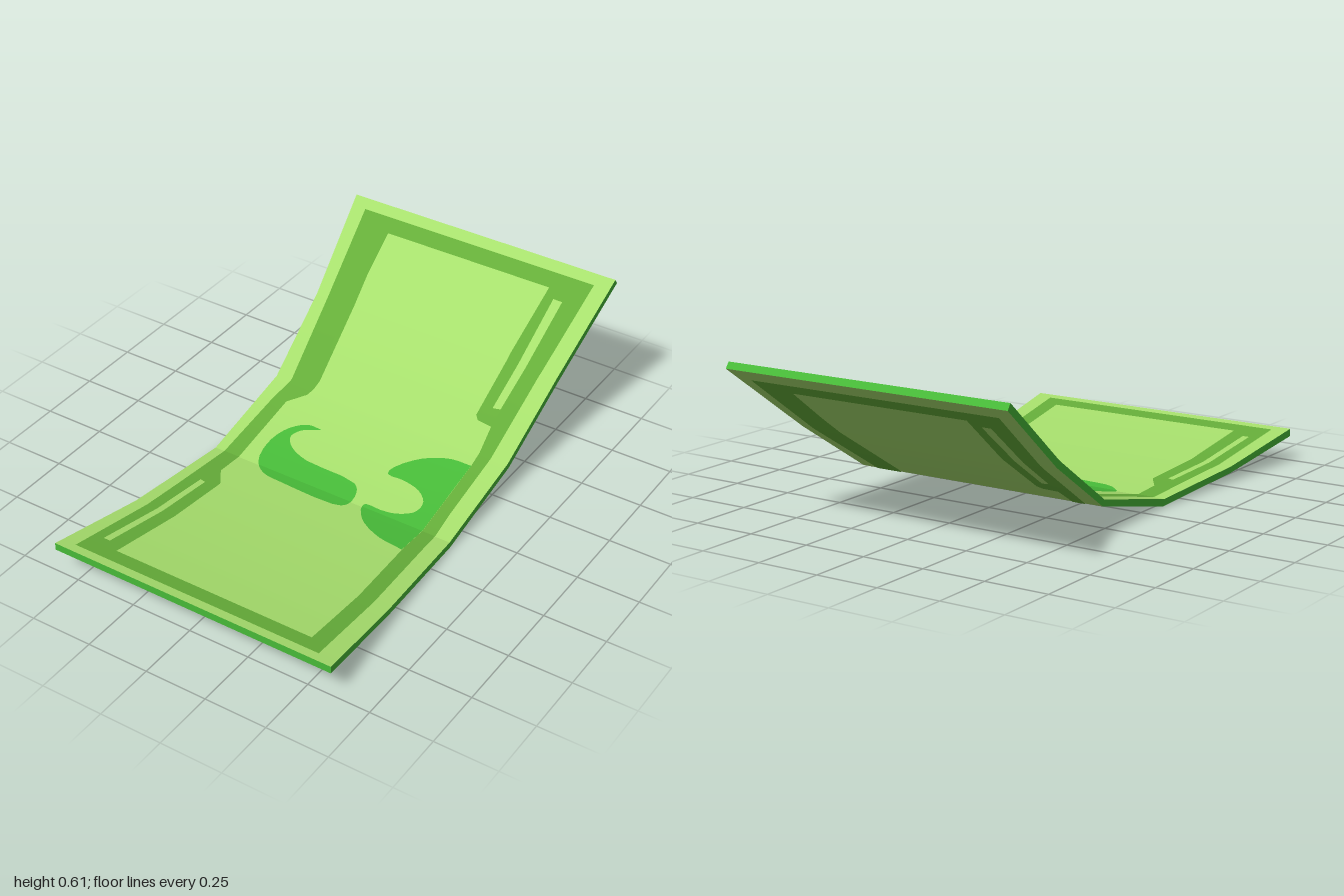
import * as THREE from 'three';

const paper = new THREE.MeshStandardMaterial({ color: 0xa6de6c });
paper.name = 'paleGreenPaper';
const ink = new THREE.MeshStandardMaterial({ color: 0x65ad39 });
ink.name = 'borderGreen';
const bright = new THREE.MeshStandardMaterial({ color: 0x47ba38 });
bright.name = 'brightGreen';

// Fold lines of the bent sheet as [z, y], front to back, and half widths there
const TOP = [[1, 0.125], [0.575, 0.056], [0.115, 0.026], [-0.305, 0.121], [-0.628, 0.333], [-0.984, 0.603]];
const BOTTOM = [[1, 0.095], [0.57, 0.031], [0.11, 0], [-0.315, 0.097], [-0.645, 0.311], [-1, 0.58]];
const HALF = [0.595, 0.56, 0.53, 0.53, 0.55, 0.593];
const CREASE = 2; // the one sharp fold; the others are shaded smoothly

// Bands between folds, each with a surface normal at both ends
function makeBands(profile, up) {
  const flat = profile.slice(1).map(([z, y], i) => {
    const dz = z - profile[i][0], dy = y - profile[i][1];
    return new THREE.Vector3(0, -dz, dy).normalize().multiplyScalar(up);
  });
  const blend = (i, j, fold) => (!flat[j] || fold === CREASE)
    ? flat[i] : flat[i].clone().add(flat[j]).normalize();
  return flat.map((n, i) => ({
    a: profile[i], b: profile[i + 1],
    na: blend(i, i - 1, i), nb: blend(i, i + 1, i + 1)
  }));
}
const SIDES = [
  { name: 'upper', flip: 1, bands: makeBands(TOP, 1) },
  { name: 'under', flip: -1, bands: makeBands(BOTTOM, -1) }
];

// Cut a convex polygon of [x, z] points at z = limit
function clip(poly, limit, sign) {
  const out = [];
  poly.forEach((p, i) => {
    const q = poly[(i + 1) % poly.length];
    const dp = (p[1] - limit) * sign, dq = (q[1] - limit) * sign;
    if (dp >= 0) out.push(p);
    if (dp * dq < 0) {
      const t = dp / (dp - dq);
      out.push([p[0] + (q[0] - p[0]) * t, limit]);
    }
  });
  return out;
}

// Lay convex plan polygons over the folded sheet; the underside is mirrored in x
function drape(polys, side, lift, material, name) {
  const pos = [], nor = [];
  const n = new THREE.Vector3();
  for (const { a, b, na, nb } of side.bands) {
    for (const poly of polys) {
      const part = clip(clip(poly, a[0], -1), b[0], 1);
      for (let i = 1; i < part.length - 1; i++) {
        for (const [x, z] of [part[0], part[i], part[i + 1]]) {
          const t = (z - a[0]) / (b[0] - a[0]);
          n.lerpVectors(na, nb, t).normalize();
          pos.push(x * side.flip, a[1] + (b[1] - a[1]) * t + n.y * lift, z + n.z * lift);
          nor.push(n.x, n.y, n.z);
        }
      }
    }
  }
  const g = new THREE.BufferGeometry();
  g.setAttribute('position', new THREE.Float32BufferAttribute(pos, 3));
  g.setAttribute('normal', new THREE.Float32BufferAttribute(nor, 3));
  const mesh = new THREE.Mesh(g, material);
  mesh.name = name;
  return mesh;
}

// Plan outline with holes, as triangles
function triangles(outline, holes = []) {
  const vec = pts => pts.map(([x, z]) => new THREE.Vector2(x, -z));
  const shape = new THREE.Shape(vec(outline));
  shape.holes = holes.map(h => new THREE.Path(vec(h)));
  const g = new THREE.ShapeGeometry(shape);
  const p = g.attributes.position, idx = g.index.array, out = [];
  for (let i = 0; i < idx.length; i += 3) {
    out.push([0, 1, 2].map(k => [p.getX(idx[i + k]), -p.getY(idx[i + k])]));
  }
  return out;
}

// Round off a control outline
function smooth(pts, count = 48) {
  const curve = new THREE.CatmullRomCurve3(pts.map(([x, z]) => new THREE.Vector3(x, 0, z)), false, 'centripetal');
  return curve.getPoints(count).map(p => [p.x, p.z]);
}

// Printed border with its inner window and two narrow slits
const BORDER = [
  [-0.525, -0.946], [0.523, -0.946], [0.48, -0.61], [0.46, -0.315], [0.462, 0], [0.472, 0.2],
  [0.521, 0.963], [-0.531, 0.963], [-0.5, 0.4], [-0.487, 0.11], [-0.475, -0.19], [-0.462, -0.315], [-0.497, -0.63]
];
const WINDOW = [
  [-0.381, -0.893], [0.358, -0.893], [0.332, -0.66], [0.322, -0.42], [0.338, -0.405], [0.4, -0.4],
  [0.412, -0.235], [0.412, 0.25], [0.434, 0.6], [0.45, 0.9], [-0.395, 0.9], [-0.37, 0.305],
  [-0.42, 0.232], [-0.415, -0.205], [-0.36, -0.27], [-0.346, -0.34], [-0.36, -0.5], [-0.381, -0.74]
];
const SLITS = [
  [[0.395, -0.862], [0.434, -0.862], [0.402, -0.465], [0.37, -0.46]],
  [[-0.447, 0.325], [-0.423, 0.33], [-0.456, 0.862], [-0.484, 0.862]]
];

// Two bright curled ornaments
const SWIRL = smooth([
  [-0.206, -0.14], [-0.27, -0.138], [-0.33, -0.085], [-0.357, 0], [-0.34, 0.095], [-0.28, 0.15],
  [-0.18, 0.163], [0.065, 0.163], [0.093, 0.14], [0.093, 0.07], [0.06, 0.032], [-0.18, 0.015],
  [-0.265, -0.02], [-0.295, -0.06], [-0.275, -0.102], [-0.21, -0.135]
]);
const CLAW = smooth([
  [0.412, -0.235], [0.32, -0.23], [0.217, -0.178], [0.147, -0.09], [0.15, -0.063], [0.22, -0.062],
  [0.3, -0.043], [0.345, 0], [0.34, 0.05], [0.28, 0.088], [0.22, 0.098], [0.15, 0.1],
  [0.15, 0.125], [0.2, 0.19], [0.3, 0.242], [0.412, 0.258]
]);

// Bright cut edge joining both faces
function makeRim() {
  const pos = [];
  const quad = (a, b, c, d) => [a, b, c, a, c, d].forEach(p => pos.push(...p));
  const at = (profile, i, s) => [s * HALF[i], profile[i][1], profile[i][0]];
  const last = HALF.length - 1;
  for (let i = 0; i < last; i++) {
    quad(at(BOTTOM, i, 1), at(BOTTOM, i + 1, 1), at(TOP, i + 1, 1), at(TOP, i, 1));
    quad(at(BOTTOM, i + 1, -1), at(BOTTOM, i, -1), at(TOP, i, -1), at(TOP, i + 1, -1));
  }
  quad(at(BOTTOM, 0, -1), at(BOTTOM, 0, 1), at(TOP, 0, 1), at(TOP, 0, -1));
  quad(at(BOTTOM, last, 1), at(BOTTOM, last, -1), at(TOP, last, -1), at(TOP, last, 1));
  const g = new THREE.BufferGeometry();
  g.setAttribute('position', new THREE.Float32BufferAttribute(pos, 3));
  g.computeVertexNormals();
  const mesh = new THREE.Mesh(g, bright);
  mesh.name = 'sheetEdge';
  return mesh;
}

export function createModel() {
  const group = new THREE.Group();
  group.name = 'bentBanknote';
  const border = triangles(BORDER, [WINDOW, ...SLITS]);
  const ornaments = [...triangles(SWIRL), ...triangles(CLAW)];
  for (const side of SIDES) {
    // Sheet face, one quad per band
    const quads = side.bands.map(({ a, b }, i) => [
      [-HALF[i], a[0]], [HALF[i], a[0]], [HALF[i + 1], b[0]], [-HALF[i + 1], b[0]]
    ]);
    group.add(
      drape(quads, side, 0, paper, side.name + 'Sheet'),
      drape(border, side, 0.002, ink, side.name + 'Border'),
      drape(ornaments, side, 0.003, bright, side.name + 'Ornaments')
    );
  }
  group.add(makeRim());
  return group;
}
